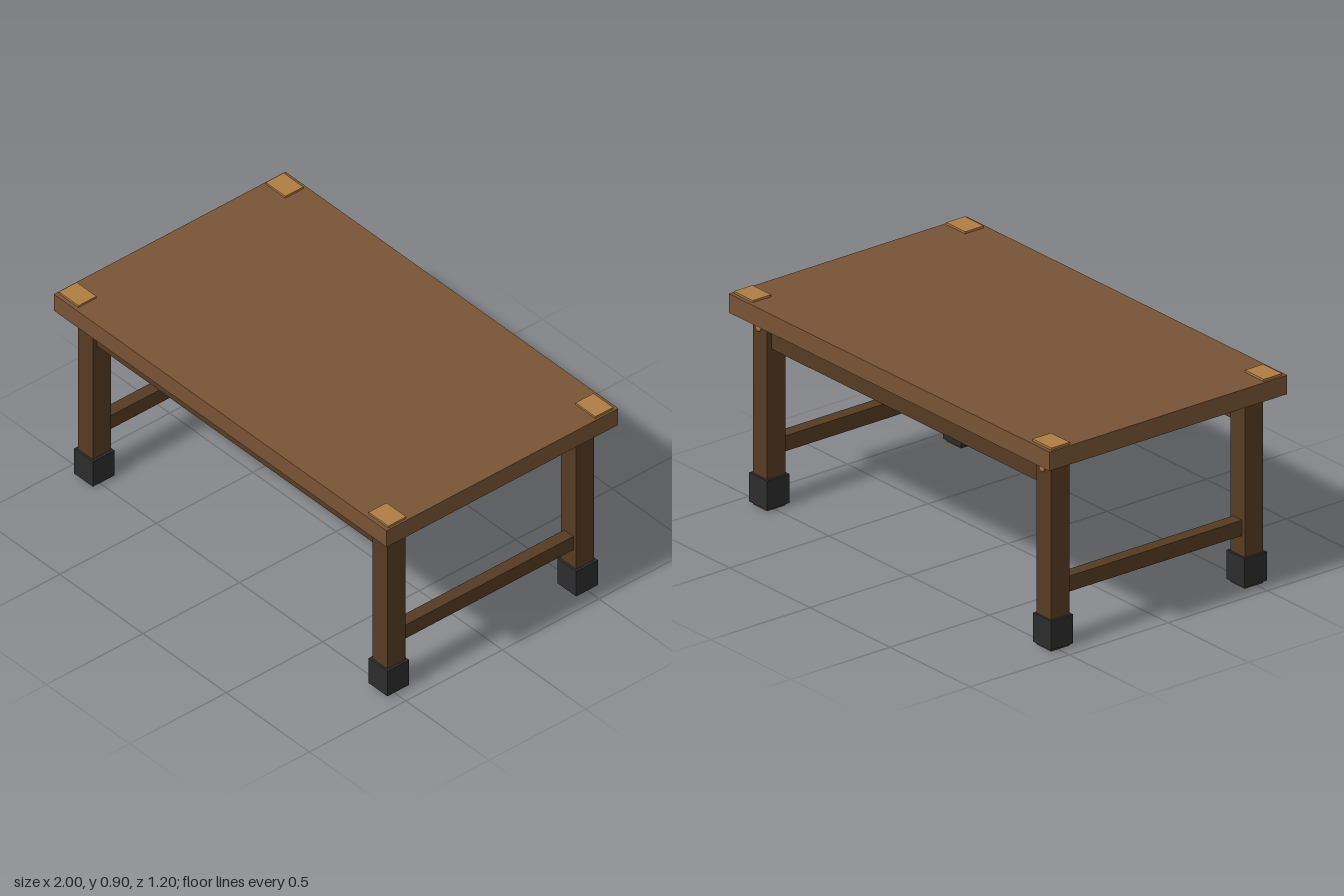
import * as THREE from 'three';

const flat = (name, color) => {
  const m = new THREE.MeshStandardMaterial({ color });
  m.name = name;
  return m;
};

export function createModel() {
  const topWood = flat('mid brown wood', 0x785436);
  const frameWood = flat('dark brown wood', 0x563b23);
  const iron = flat('dark iron', 0x2d2d2d);
  const brass = flat('brass', 0xb07d42);

  const table = new THREE.Group();
  table.name = 'table';

  const add = (name, geometry, material, x, y, z) => {
    const mesh = new THREE.Mesh(geometry, material);
    mesh.name = name;
    mesh.position.set(x, y, z);
    table.add(mesh);
    return mesh;
  };
  // Box given by its bottom and top heights
  const box = (name, material, w, d, y0, y1, x, z) =>
    add(name, new THREE.BoxGeometry(w, y1 - y0, d), material, x, (y0 + y1) / 2, z);

  const legX = 0.885, legZ = 0.489;

  box('tableTop', topWood, 2, 1.2, 0.814, 0.895, 0, 0);

  // Corner assemblies
  for (const sx of [-1, 1]) {
    for (const sz of [-1, 1]) {
      box('leg', frameWood, 0.09, 0.093, 0, 0.814, sx * legX, sz * legZ);
      box('footCap', iron, 0.112, 0.112, 0.011, 0.135, sx * legX, sz * legZ);
      box('cornerPlate', brass, 0.118, 0.093, 0.895, 0.904, sx * 0.931, sz * 0.536);
      const stud = add('stud', new THREE.SphereGeometry(0.016, 12, 8), brass,
        sx * legX, 0.773, sz * 0.544);
      stud.scale.z = 0.5;
    }
  }

  // Long aprons under the top, front and back
  for (const sz of [-1, 1])
    box('apron', frameWood, 1.684, 0.052, 0.689, 0.814, 0, sz * legZ);

  // Low stretchers joining the legs at each end
  for (const sx of [-1, 1])
    box('stretcher', frameWood, 0.056, 0.886, 0.222, 0.288, sx * legX, 0);

  return table;
}
